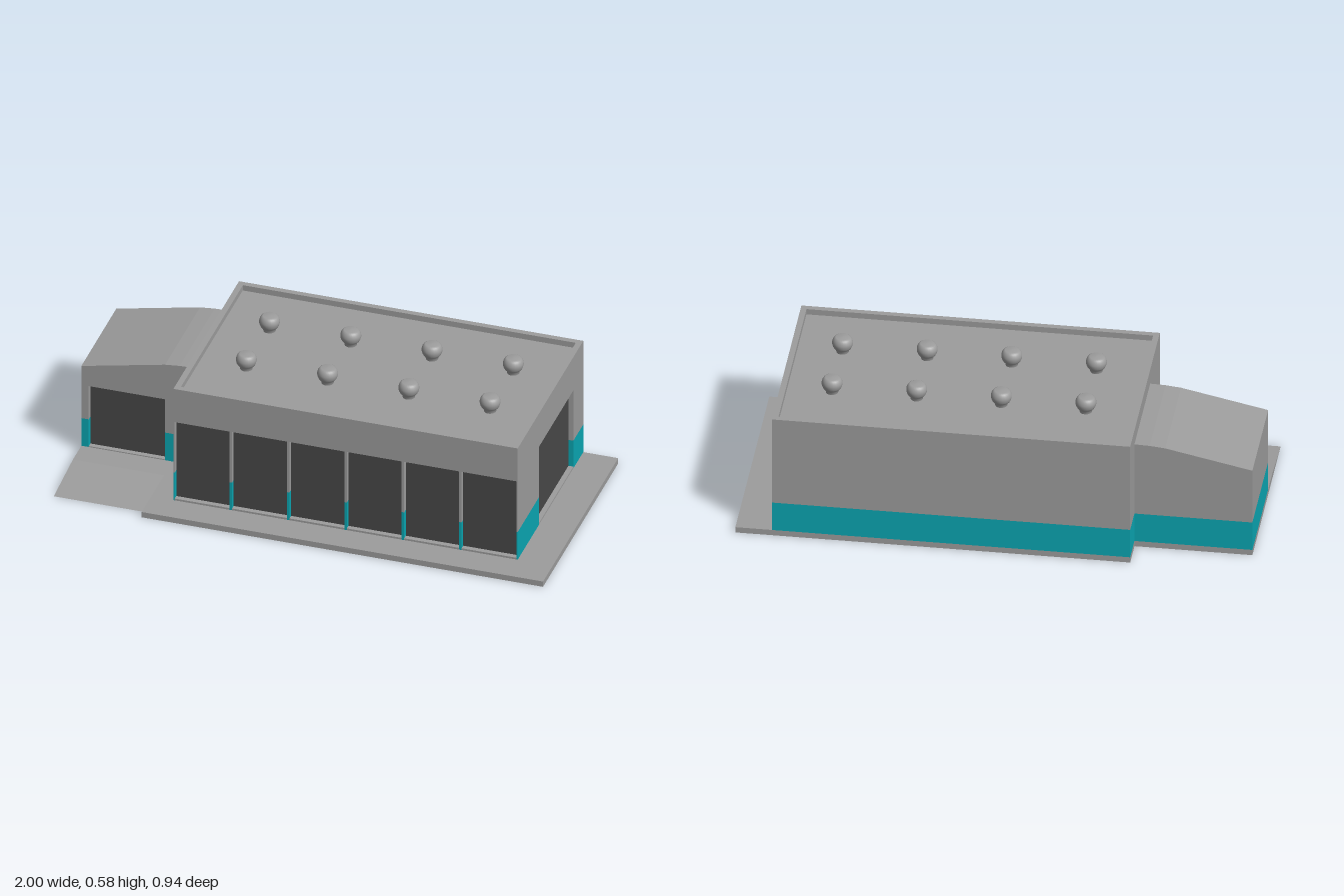
import * as THREE from 'three';

const grey = new THREE.MeshStandardMaterial({ color: 0x9d9d9d, side: THREE.DoubleSide });
const teal = new THREE.MeshStandardMaterial({ color: 0x0aa7b3, side: THREE.DoubleSide });
const dark = new THREE.MeshStandardMaterial({ color: 0x484848, side: THREE.DoubleSide });

const GROUND = 0.024, BAND = 0.15;
const HALL = { x0: -0.54, x1: 0.858, z0: -0.47, z1: 0.35, top: 0.532, roof: 0.508 };
const ANNEX = { x0: -1, x1: -0.54, z0: -0.352, z1: 0.085 };

// Mesh made of four-cornered faces, corners counter-clockwise from outside
function quadMesh(name, material, quads) {
  const pos = [];
  for (const [a, b, c, d] of quads) pos.push(...a, ...b, ...c, ...a, ...c, ...d);
  const geo = new THREE.BufferGeometry();
  geo.setAttribute('position', new THREE.Float32BufferAttribute(pos, 3));
  geo.computeVertexNormals();
  const mesh = new THREE.Mesh(geo, material);
  mesh.name = name;
  return mesh;
}

// Thin wall from a to b ([x, z]) with painted band and openings { s0, s1, y0, y1, door }
function wall(name, a, b, top, openings = []) {
  const length = Math.hypot(b[0] - a[0], b[1] - a[1]);
  const dx = (b[0] - a[0]) / length, dz = (b[1] - a[1]) / length;
  const at = (s, y, depth = 0) => [a[0] + dx * s + dz * depth, y, a[1] + dz * s - dx * depth];
  const quads = { grey: [], teal: [], dark: [] };
  const face = (key, s0, s1, y0, y1, d0 = 0, d1 = d0) => {
    if (y1 - y0 > 1e-5) quads[key].push([at(s0, y0, d0), at(s1, y0, d1), at(s1, y1, d1), at(s0, y1, d0)]);
  };
  const banded = (s0, s1, y0, y1, d0 = 0, d1 = 0) => {
    face('grey', s0, s1, y0, Math.max(y0, GROUND), d0, d1);
    face('teal', s0, s1, Math.max(y0, GROUND), Math.min(y1, BAND), d0, d1);
    face('grey', s0, s1, Math.max(y0, BAND), y1, d0, d1);
  };
  let s = 0;
  for (const { s0, s1, y0, y1, door } of openings) {
    if (s0 > s) banded(s, s0, 0, top);
    face('grey', s0, s1, y1, top);
    if (door) {
      const d = 0.02;
      face('grey', s0, s1, 0, y0);
      face('dark', s0, s1, y0, y1, d);
      banded(s0, s0, y0, y1, 0, d);
      banded(s1, s1, y0, y1, d, 0);
      quads.grey.push([at(s0, y0), at(s1, y0), at(s1, y0, d), at(s0, y0, d)]);
      quads.grey.push([at(s0, y1, d), at(s1, y1, d), at(s1, y1), at(s0, y1)]);
    }
    s = s1;
  }
  if (s < length) banded(s, length, 0, top);
  const group = new THREE.Group();
  group.name = name;
  group.add(quadMesh('wallSurface', grey, quads.grey), quadMesh('paintedBand', teal, quads.teal));
  if (quads.dark.length) group.add(quadMesh('doors', dark, quads.dark));
  return group;
}

// Main hall: six bay doors in front, one large door at the end
function buildHall() {
  const { x0, x1, z0, z1, top, roof } = HALL;
  const hall = new THREE.Group();
  hall.name = 'mainHall';
  const pitch = (x1 - x0) / 6;
  const bays = Array.from({ length: 6 }, (_, i) => ({
    s0: i * pitch + 0.005, s1: (i + 1) * pitch - 0.005, y0: 0.032, y1: 0.381, door: true,
  }));
  hall.add(
    wall('frontWall', [x0, z1], [x1, z1], top, bays),
    wall('leftWall', [x1, z1], [x1, z0], top, [{ s0: 0.267, s1: 0.696, y0: 0.032, y1: 0.38, door: true }]),
    wall('backWall', [x1, z0], [x0, z0], top),
    wall('rightWall', [x0, z0], [x0, z1], top,
      [{ s0: ANNEX.z0 - z0, s1: ANNEX.z1 - z0, y0: 0, y1: 0.468, door: false }]),
  );

  // Parapet rim, its inner faces and the sunken roof
  const corners = (m, y) => [
    [x0 + m, y, z1 - m], [x1 - m, y, z1 - m], [x1 - m, y, z0 + m], [x0 + m, y, z0 + m]];
  const outer = corners(0, top), inner = corners(0.023, top), low = corners(0.023, roof);
  const rim = [];
  for (let i = 0; i < 4; i++) {
    const j = (i + 1) % 4;
    rim.push([outer[i], outer[j], inner[j], inner[i]], [inner[i], inner[j], low[j], low[i]]);
  }
  hall.add(quadMesh('parapet', grey, rim), quadMesh('roof', grey, [low]));

  // Roof ventilators in two rows
  const profile = [[0.024, 0], [0.026, 0.012], [0.034, 0.02], [0.038, 0.028], [0.0405, 0.038], [0.0405, 0.046],
    [0.038, 0.055], [0.033, 0.063], [0.026, 0.068], [0, 0.069]].map(p => new THREE.Vector2(...p));
  const ventGeo = new THREE.LatheGeometry(profile, 24);
  for (const z of [-0.205, 0.085]) {
    for (const x of [-0.33, 0, 0.33, 0.66]) {
      const vent = new THREE.Mesh(ventGeo, grey);
      vent.name = 'roofVent';
      vent.position.set(x, roof, z);
      hall.add(vent);
    }
  }
  return hall;
}

// Side annex with sloping roof
function buildAnnex() {
  const { x0, x1, z0, z1 } = ANNEX;
  const eave = 0.388;
  const annex = new THREE.Group();
  annex.name = 'annex';
  annex.add(
    wall('annexFrontWall', [x0, z1], [x1, z1], eave, [{ s0: 0.03, s1: 0.34, y0: 0.028, y1: 0.302, door: true }]),
    wall('annexBackWall', [x1, z0], [x0, z0], eave),
    wall('annexRightWall', [x0, z0], [x0, z1], eave),
  );
  const line = [[x0, eave], [-0.66, 0.46], [-0.6, 0.466], [x1, 0.468]];
  const roof = [], gables = [];
  for (let i = 0; i < line.length - 1; i++) {
    const [xa, ya] = line[i], [xb, yb] = line[i + 1];
    roof.push([[xa, ya, z1], [xb, yb, z1], [xb, yb, z0], [xa, ya, z0]]);
    gables.push([[xa, eave, z1], [xb, eave, z1], [xb, yb, z1], [xa, ya, z1]]);
    gables.push([[xb, eave, z0], [xa, eave, z0], [xa, ya, z0], [xb, yb, z0]]);
  }
  annex.add(quadMesh('annexRoof', grey, roof), quadMesh('annexGables', grey, gables));
  return annex;
}

// Paved apron around the hall, open beneath the building
function buildApron() {
  const { x0, x1, z0, z1 } = HALL;
  const outline = [[1, z0], [1, 0.47], [-0.63, 0.47], [-0.63, ANNEX.z1],
    [x0, ANNEX.z1], [x0, z1], [x1, z1], [x1, z0]];
  const shape = new THREE.Shape(outline.map(([x, z]) => new THREE.Vector2(x, -z)));
  const geo = new THREE.ExtrudeGeometry(shape, { depth: GROUND, bevelEnabled: false });
  geo.rotateX(-Math.PI / 2);
  const apron = new THREE.Mesh(geo, grey);
  apron.name = 'apron';
  return apron;
}

// Ramp in front of the annex: short level part, then a slope to the ground
function buildRamp() {
  const side = new THREE.Shape([[0.085, 0], [0.43, 0], [0.19, GROUND], [0.085, GROUND]]
    .map(([z, y]) => new THREE.Vector2(z, y)));
  const geo = new THREE.ExtrudeGeometry(side, { depth: 0.37, bevelEnabled: false });
  geo.rotateY(-Math.PI / 2);
  const ramp = new THREE.Mesh(geo, grey);
  ramp.name = 'ramp';
  ramp.position.x = -0.63;
  return ramp;
}

export function createModel() {
  const model = new THREE.Group();
  model.name = 'garageBuilding';
  model.add(buildHall(), buildAnnex(), buildApron(), buildRamp());
  return model;
}
